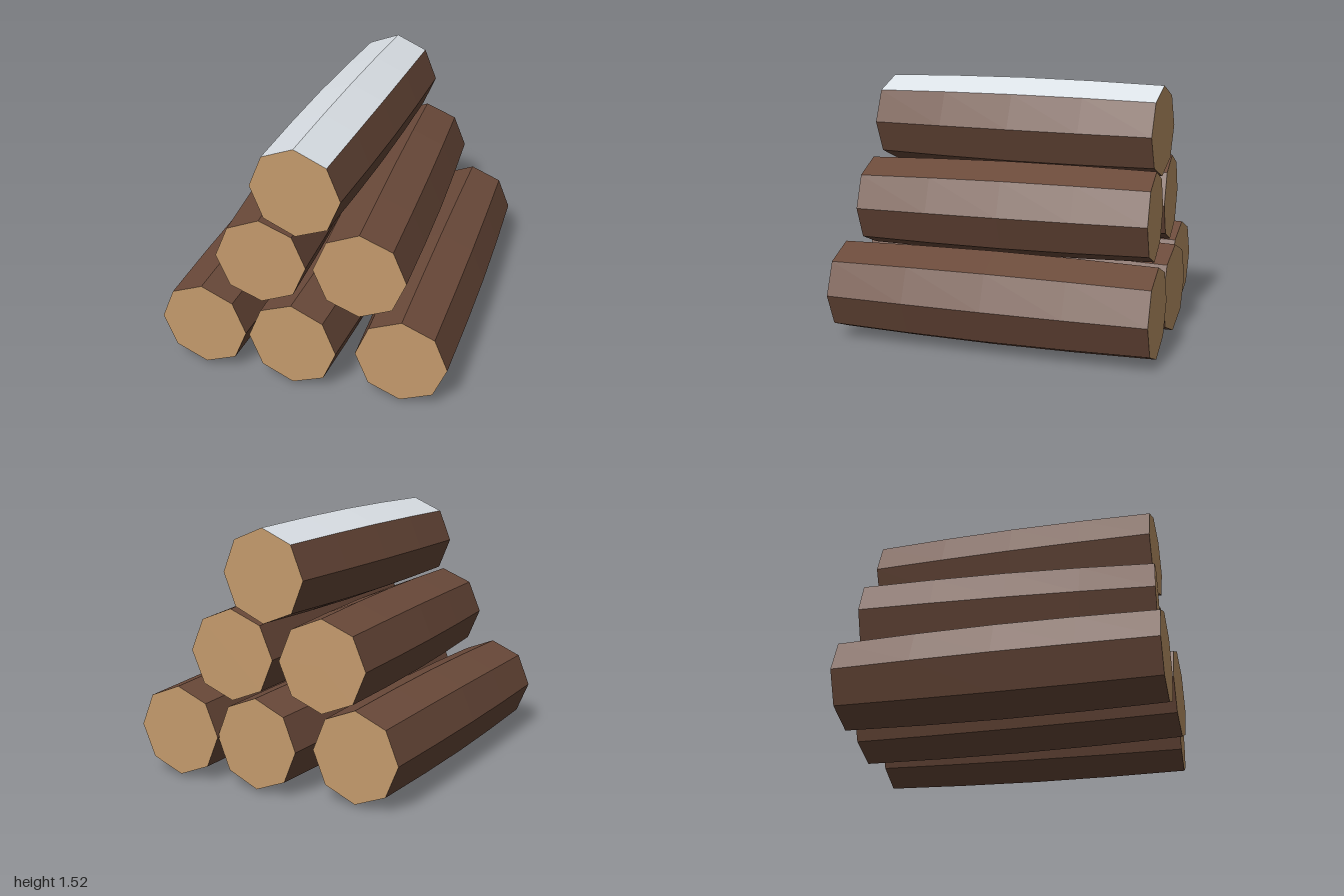
import * as THREE from 'three';

const END_RADIUS = 0.27;
const BULGE = 0.015;

// Part of an eight-sided log side, running along z and slightly fatter in the middle
function logSide(length, firstSide, sides) {
  const step = Math.PI / 4;
  const tube = new THREE.CylinderGeometry(
    END_RADIUS, END_RADIUS, length, sides, 4, true, firstSide * step, sides * step);
  tube.rotateX(Math.PI / 2);
  const p = tube.attributes.position;
  for (let i = 0; i < p.count; i++) {
    const k = 1 + (BULGE / END_RADIUS) * Math.cos((p.getZ(i) / length) * Math.PI);
    p.setXY(i, p.getX(i) * k, p.getY(i) * k);
  }
  const flat = tube.toNonIndexed();
  flat.computeVertexNormals();
  return flat;
}

export function createModel() {
  const bark = new THREE.MeshStandardMaterial({ color: 0x6b4a3a });
  bark.name = 'bark';
  const cutWood = new THREE.MeshStandardMaterial({ color: 0xc49a6c });
  cutWood.name = 'cutWood';
  const snow = new THREE.MeshStandardMaterial({ color: 0xe8eef4 });
  snow.name = 'snow';

  const model = new THREE.Group();
  model.name = 'logPile';

  function addLog({ name, x, y, length, yaw, snowy }) {
    const log = new THREE.Group();
    log.name = name;
    const add = (part, geometry, material) => {
      const mesh = new THREE.Mesh(geometry, material);
      mesh.name = part;
      log.add(mesh);
      return mesh;
    };
    // The two uppermost sides are snow on a snowy log
    add('barkSides', snowy ? logSide(length, 5, 6) : logSide(length, 0, 8), bark);
    if (snowy) add('snowCover', logSide(length, 3, 2), snow);
    // Sawn ends
    const cut = new THREE.CircleGeometry(END_RADIUS, 8);
    add('frontCut', cut, cutWood).position.z = length / 2;
    const back = add('backCut', cut, cutWood);
    back.position.z = -length / 2;
    back.rotation.y = Math.PI;

    log.position.set(x, y, 0);
    log.rotation.y = -yaw;
    model.add(log);
  }

  // Three logs below, two between, one on top
  [
    { name: 'bottomRightLog', x: -0.565, y: 0.285, length: 1.853, yaw: 0.07 },
    { name: 'bottomMiddleLog', x: 0.016, y: 0.285, length: 1.95, yaw: 0.087 },
    { name: 'bottomLeftLog', x: 0.601, y: 0.285, length: 1.92, yaw: 0.03 },
    { name: 'middleRightLog', x: -0.275, y: 0.762, length: 1.765, yaw: 0 },
    { name: 'middleLeftLog', x: 0.307, y: 0.762, length: 1.765, yaw: 0 },
    { name: 'topLog', x: 0.016, y: 1.235, length: 1.767, yaw: 0.087, snowy: true },
  ].forEach(addLog);

  return model;
}
